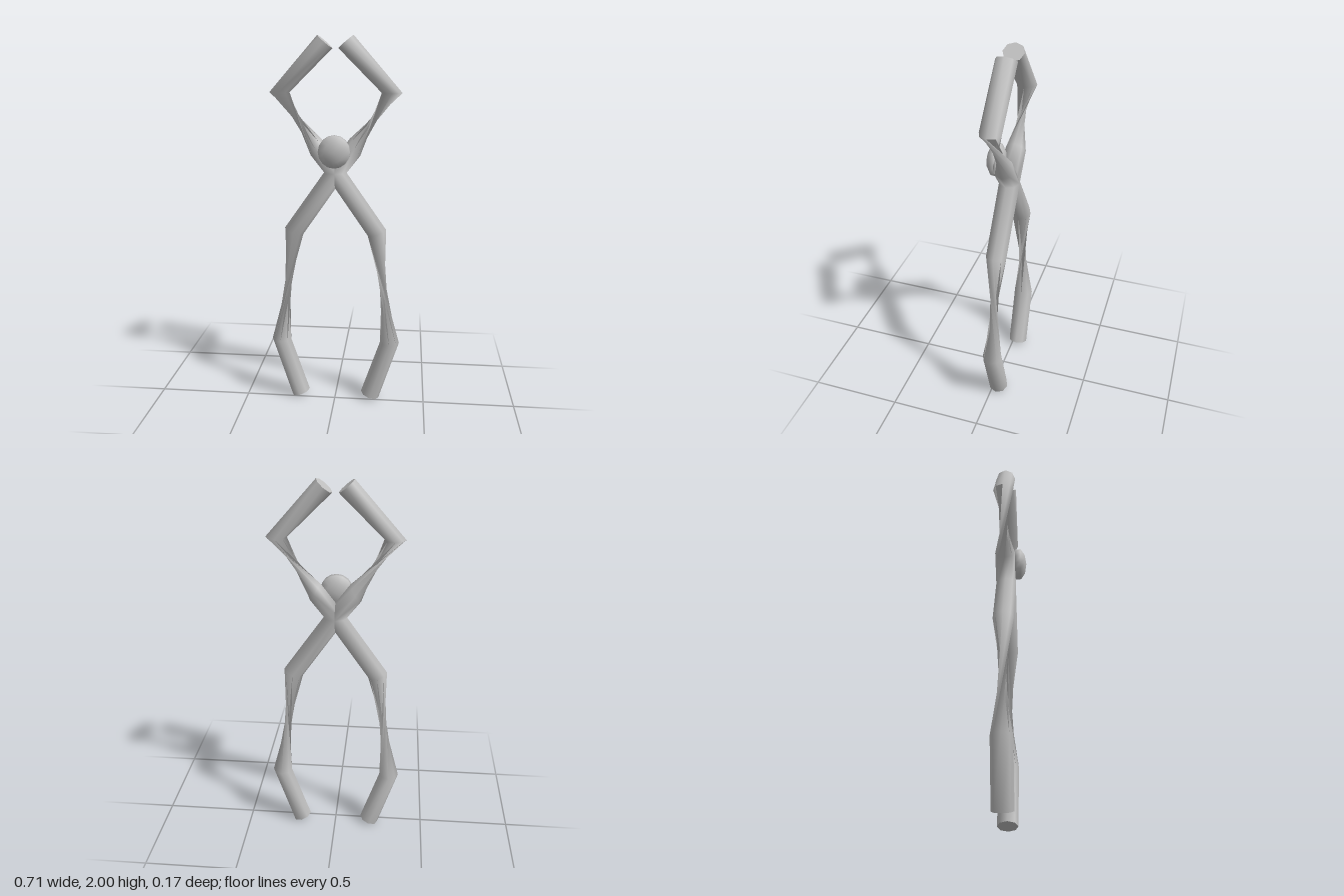
import * as THREE from 'three';

const SIDES = 8, DEPTH = 0.054, Z0 = -0.031;

// Rings from handle tip to jaw tip: outer x, y, inner x, y, twist in steps of one side
const RINGS = [
  [0.247, 0.005, 0.147, 0.04, 0],
  [0.356, 0.345, 0.25, 0.345, 0],
  [0.273, 0.995, 0.174, 0.96, 3],
  [0.06, 1.3, -0.06, 1.3, 3],
  [0.13, 1.39, 0.075, 1.48, 3],
  [0.343, 1.715, 0.237, 1.715, 6],
  [0.092, 2.0, 0.015, 1.935, 6],
];

// Points of one elliptical ring; side is 1 or -1 for mirroring
function ringPoints([ox, oy, ix, iy, twist], side) {
  const points = [];
  for (let k = 0; k < SIDES; k++) {
    const a = ((k + twist) / SIDES) * Math.PI * 2;
    const t = (1 + Math.cos(a)) / 2;
    points.push(new THREE.Vector3(
      side * THREE.MathUtils.lerp(ix, ox, t),
      THREE.MathUtils.lerp(iy, oy, t),
      Z0 + Math.sin(a) * DEPTH));
  }
  return points;
}

function meshFrom(points, triangles, flip, material, name) {
  const geometry = new THREE.BufferGeometry().setFromPoints(points);
  geometry.setIndex(triangles.flatMap(([a, b, c]) => (flip ? [a, c, b] : [a, b, c])));
  geometry.computeVertexNormals();
  const mesh = new THREE.Mesh(geometry, material);
  mesh.name = name;
  return mesh;
}

// One bent bar with twisted necks, closed by a flat cap at each end
function makeArm(side, material) {
  const arm = new THREE.Group();
  arm.name = side > 0 ? 'leftArm' : 'rightArm';
  const rings = RINGS.map((r) => ringPoints(r, side));
  const walls = [];
  for (let i = 0; i < rings.length - 1; i++) {
    for (let k = 0; k < SIDES; k++) {
      const n = (k + 1) % SIDES, a = i * SIDES, b = a + SIDES;
      walls.push([a + k, b + k, b + n], [a + k, b + n, a + n]);
    }
  }
  arm.add(meshFrom(rings.flat(), walls, side < 0, material, 'bar'));

  const fan = [];
  for (let k = 1; k < SIDES - 1; k++) fan.push([0, k, k + 1]);
  arm.add(meshFrom(rings[0], fan, side < 0, material, 'handleCap'));
  arm.add(meshFrom(rings[rings.length - 1], fan, side > 0, material, 'jawCap'));
  return arm;
}

export function createModel() {
  const model = new THREE.Group();
  model.name = 'tongs';
  const steel = new THREE.MeshStandardMaterial({ color: 0xbfbfbf, side: THREE.DoubleSide });
  steel.name = 'steel';

  for (const side of [1, -1]) model.add(makeArm(side, steel));

  // Flattened rivet head on the front of the joint
  const head = new THREE.SphereGeometry(1, 16, 5);
  head.rotateX(Math.PI / 2);
  head.scale(0.087, 0.089, 0.045);
  const rivet = new THREE.Mesh(head, steel);
  rivet.name = 'rivet';
  rivet.position.set(0, 1.42, 0.037);
  model.add(rivet);

  return model;
}
